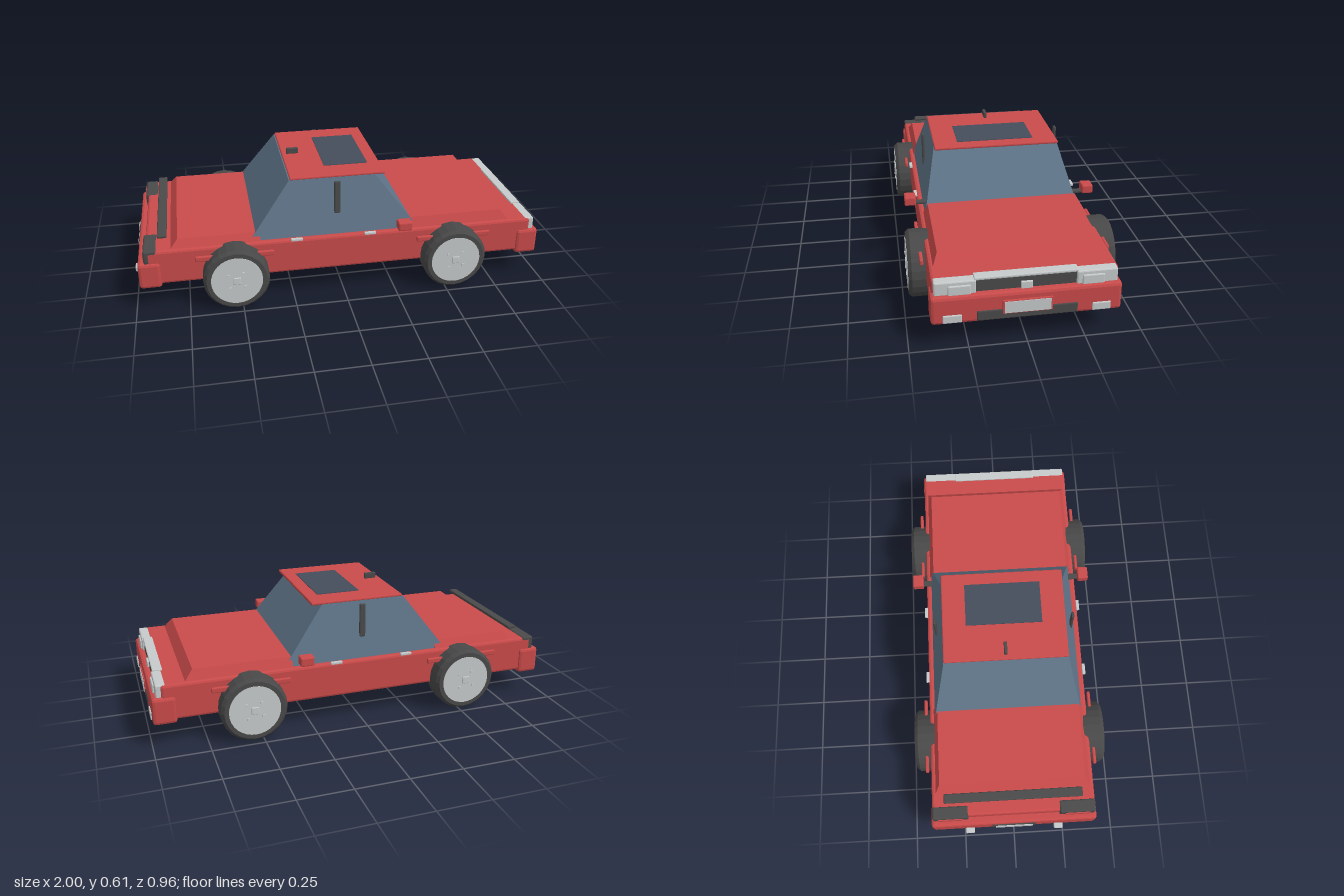
import * as THREE from 'three';
import { RoundedBoxGeometry } from 'three/addons/geometries/RoundedBoxGeometry.js';

const mat = (name, color) => {
  const m = new THREE.MeshStandardMaterial({ color, flatShading: true });
  m.name = name;
  return m;
};

export function createModel() {
  const car = new THREE.Group();
  car.name = 'car';
  const red = mat('red paint', 0xc94a4a);
  const glass = mat('glass', 0x5f7488);
  const tint = mat('tinted glass', 0x454e5d);
  const dark = mat('dark trim', 0x4a4a4a);
  const rubber = mat('rubber', 0x484848);
  const silver = mat('silver', 0xc6caca);

  const add = (name, geo, material, parent = car) => {
    const mesh = new THREE.Mesh(geo, material);
    mesh.name = name;
    parent.add(mesh);
    return mesh;
  };

  // Chamfered box given by its limits on each axis
  const box = (name, material, [x0, x1], [y0, y1], [z0, z1], bevel = 0) => {
    const s = [x1 - x0, y1 - y0, z1 - z0];
    const geo = bevel ? new RoundedBoxGeometry(...s, 1, bevel) : new THREE.BoxGeometry(...s);
    geo.translate((x0 + x1) / 2, (y0 + y1) / 2, (z0 + z1) / 2);
    return add(name, geo, material);
  };

  // Same box on both sides of the car
  const pair = (name, material, x, y, [z0, z1], bevel = 0) => {
    box(name + 'Right', material, x, y, [z0, z1], bevel);
    box(name + 'Left', material, x, y, [-z1, -z0], bevel);
  };

  // Box whose top face has its own limits
  const taper = (name, material, y0, y1, bottom, top) => {
    const geo = new THREE.BoxGeometry(1, 1, 1);
    const p = geo.attributes.position;
    for (let i = 0; i < p.count; i++) {
      const up = p.getY(i) > 0;
      const [x0, x1, z] = up ? top : bottom;
      p.setXYZ(i, p.getX(i) > 0 ? x1 : x0, up ? y1 : y0, p.getZ(i) > 0 ? z : -z);
    }
    return add(name, geo, material);
  };

  // Body
  box('lowerBody', red, [-0.935, 0.945], [0.13, 0.303], [-0.396, 0.396], 0.012);
  taper('hood', red, 0.295, 0.349, [0.33, 0.84, 0.38], [0.33, 0.795, 0.355]);
  taper('trunkLid', red, 0.295, 0.341, [-0.825, -0.40, 0.38], [-0.785, -0.40, 0.355]);
  box('frontBumper', red, [0.88, 0.99], [0.115, 0.245], [-0.405, 0.405], 0.014);
  box('rearBumper', red, [-0.975, -0.87], [0.115, 0.245], [-0.405, 0.405], 0.014);

  // Cabin and roof
  taper('cabinGlass', glass, 0.303, 0.57, [-0.45, 0.37, 0.37], [-0.25, 0.165, 0.303]);
  box('roof', red, [-0.245, 0.215], [0.567, 0.581], [-0.303, 0.303], 0.005);
  box('sunroof', tint, [-0.062, 0.153], [0.579, 0.584], [-0.187, 0.187]);
  box('antenna', dark, [-0.222, -0.162], [0.58, 0.61], [-0.008, 0.008], 0.004);
  pair('doorPillar', dark, [-0.04, -0.01], [0.4, 0.566], [0.334, 0.348], 0.005);

  // Mirrors, handles and wheel arch strips
  pair('mirrorArm', dark, [0.265, 0.295], [0.328, 0.342], [0.34, 0.42], 0.004);
  pair('mirror', red, [0.25, 0.316], [0.333, 0.376], [0.408, 0.462], 0.006);
  for (const x of [-0.23, 0.125]) {
    pair('doorHandle', silver, [x - 0.028, x + 0.028], [0.3, 0.313], [0.392, 0.408], 0.003);
  }
  for (const x of [-0.525, 0.54]) {
    pair('archStrip', red, [x - 0.185, x + 0.185], [0.246, 0.272], [0.409, 0.425], 0.005);
  }

  // Nose
  box('grille', dark, [0.93, 0.958], [0.24, 0.302], [-0.212, 0.212]);
  box('grilleTrim', silver, [0.915, 0.962], [0.298, 0.311], [-0.22, 0.22], 0.004);
  box('noseBadge', silver, [0.955, 0.968], [0.243, 0.277], [-0.025, 0.025], 0.003);
  pair('lampHousing', silver, [0.92, 0.968], [0.24, 0.304], [0.212, 0.388], 0.006);
  pair('headlight', silver, [0.96, 0.976], [0.242, 0.287], [0.235, 0.33], 0.004);
  box('lowerGrille', dark, [0.97, 0.994], [0.122, 0.17], [-0.214, 0.214], 0.005);
  box('frontPlateFrame', red, [0.98, 0.996], [0.146, 0.212], [-0.107, 0.107], 0.004);
  box('frontPlate', silver, [0.992, 0.999], [0.152, 0.206], [-0.098, 0.098]);
  pair('fogLight', silver, [0.98, 0.996], [0.124, 0.161], [0.276, 0.356], 0.004);

  // Tail
  pair('tailLamp', dark, [-0.946, -0.885], [0.24, 0.307], [0.222, 0.396], 0.008);
  pair('tailLens', red, [-0.951, -0.944], [0.254, 0.29], [0.25, 0.37]);
  box('rearPlateFrame', dark, [-0.98, -0.965], [0.14, 0.222], [-0.107, 0.107], 0.004);
  box('rearPlate', silver, [-0.984, -0.977], [0.152, 0.206], [-0.092, 0.092]);
  box('spoiler', dark, [-0.877, -0.832], [0.338, 0.353], [-0.335, 0.335], 0.005);
  pair('exhaust', silver, [-1, -0.95], [0.118, 0.144], [0.198, 0.242], 0.005);

  // Wheels: bevelled tyre, flush hub disc, centre cap and four bolts
  const profile = [[0, -0.06], [0.142, -0.06], [0.156, -0.044], [0.156, 0.044], [0.142, 0.06], [0, 0.06]]
    .map(([r, y]) => new THREE.Vector2(r, y));
  const tyreGeo = new THREE.LatheGeometry(profile, 24).rotateX(Math.PI / 2);
  const hubGeo = new THREE.CylinderGeometry(0.121, 0.121, 0.006, 32).rotateX(Math.PI / 2);
  const capGeo = new RoundedBoxGeometry(0.036, 0.036, 0.01, 1, 0.003);
  const boltGeo = new THREE.BoxGeometry(0.012, 0.012, 0.008);
  for (const x of [-0.525, 0.54]) {
    for (const side of [1, -1]) {
      const wheel = new THREE.Group();
      wheel.name = (x > 0 ? 'front' : 'rear') + 'Wheel' + (side > 0 ? 'Right' : 'Left');
      wheel.position.set(x, 0.157, side * 0.415);
      if (side < 0) wheel.rotation.y = Math.PI;
      add('tyre', tyreGeo, rubber, wheel);
      add('hub', hubGeo, silver, wheel).position.z = 0.059;
      add('hubCap', capGeo, silver, wheel).position.z = 0.062;
      for (let i = 0; i < 4; i++) {
        const a = (i + 0.5) * Math.PI / 2 + 0.1;
        add('bolt', boltGeo, silver, wheel)
          .position.set(0.05 * Math.cos(a), 0.05 * Math.sin(a), 0.063);
      }
      car.add(wheel);
    }
  }
  return car;
}
